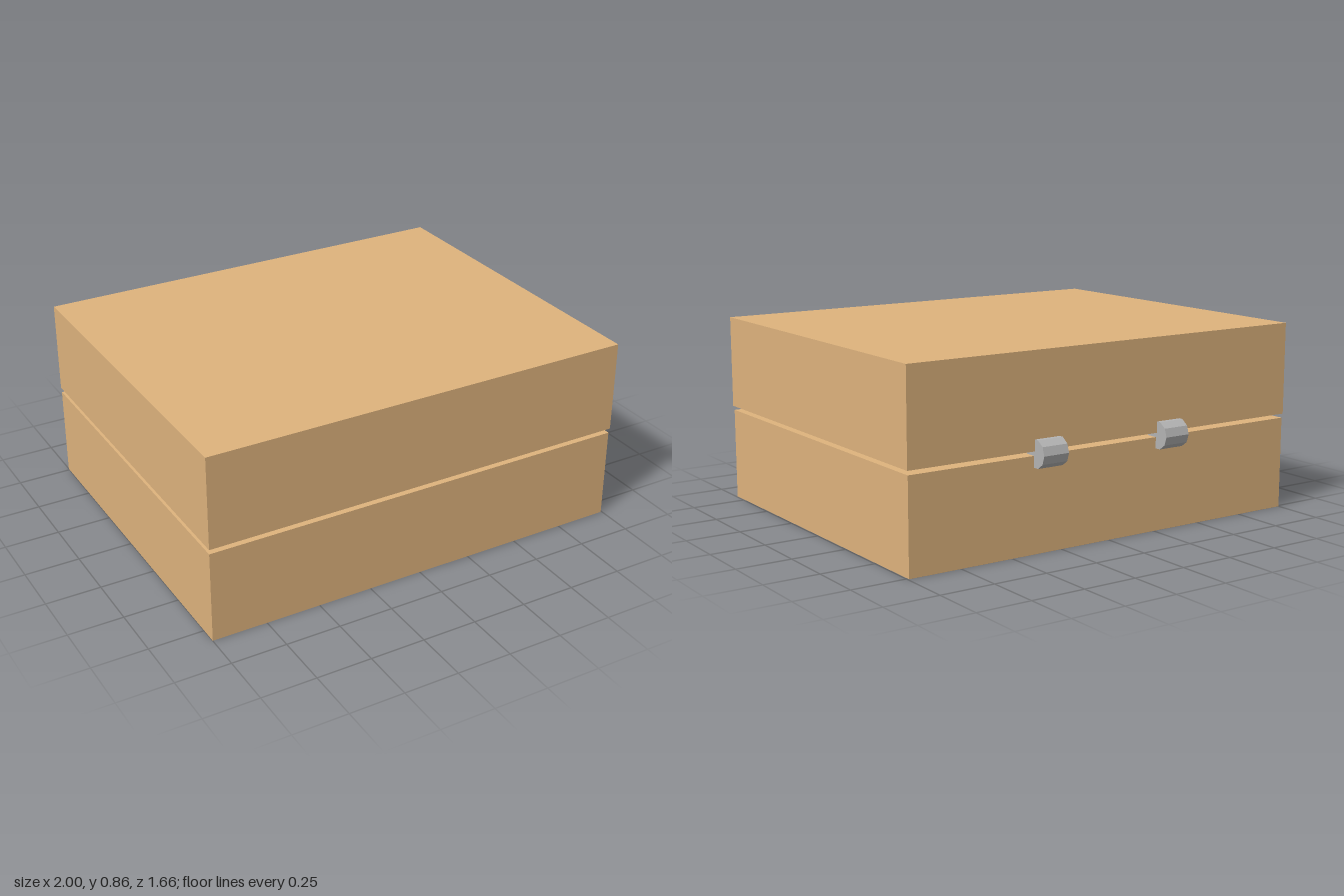
import * as THREE from 'three';

const WALL = 0.08;
const wood = new THREE.MeshStandardMaterial({ color: 0xdeb37d });
const velvet = new THREE.MeshStandardMaterial({ color: 0x4a0f16, side: THREE.DoubleSide });
const metal = new THREE.MeshStandardMaterial({ color: 0xb4b4b4, flatShading: true });

function rectangle(PathType, w, d) {
  return new PathType([
    new THREE.Vector2(-w / 2, -d / 2), new THREE.Vector2(w / 2, -d / 2),
    new THREE.Vector2(w / 2, d / 2), new THREE.Vector2(-w / 2, d / 2),
  ]);
}

// Open tray: a rectangular wall frame with a panel set into its base
function tray(name, w, h, d) {
  const group = new THREE.Group();
  group.name = name;
  const outline = rectangle(THREE.Shape, w, d);
  outline.holes.push(rectangle(THREE.Path, w - 2 * WALL, d - 2 * WALL));
  const frame = new THREE.ExtrudeGeometry(outline, { depth: h, bevelEnabled: false });
  frame.rotateX(-Math.PI / 2);
  const walls = new THREE.Mesh(frame, wood);
  walls.name = name + 'Walls';
  const panel = new THREE.Mesh(new THREE.BoxGeometry(w - 2 * WALL, WALL, d - 2 * WALL), wood);
  panel.name = name + 'Panel';
  panel.position.y = WALL / 2;
  group.add(walls, panel);
  return group;
}

export function createModel() {
  const model = new THREE.Group();
  model.name = 'hingedBox';

  // Lower half
  const base = tray('base', 1.994, 0.42, 1.59);
  base.position.set(-0.003, 0, 0.035);
  model.add(base);

  // Upper half, the same tray turned over
  const lid = tray('lid', 2, 0.42, 1.597);
  lid.rotation.z = Math.PI;
  lid.position.set(0, 0.86, 0.032);
  model.add(lid);

  // Domed cushion lining, swelling above the rim in the middle
  const dome = new THREE.PlaneGeometry(1.84, 1.44, 20, 20);
  dome.rotateX(-Math.PI / 2);
  const p = dome.attributes.position;
  for (let i = 0; i < p.count; i++) {
    const u = p.getX(i) / 0.92, v = p.getZ(i) / 0.72;
    p.setY(i, 0.3 + 0.187 * (1 - u * u) * (1 - v * v));
  }
  dome.computeVertexNormals();
  const cushion = new THREE.Mesh(dome, velvet);
  cushion.name = 'cushion';
  cushion.position.z = 0.035;
  model.add(cushion);

  // Two hinge barrels along the back edge
  for (const [name, x] of [['rightHinge', -0.315], ['leftHinge', 0.33]]) {
    const barrel = new THREE.CylinderGeometry(0.063, 0.063, 0.125, 10);
    barrel.rotateZ(Math.PI / 2);
    const hinge = new THREE.Mesh(barrel, metal);
    hinge.name = name;
    hinge.position.set(x, 0.43, -0.768);
    model.add(hinge);
  }
  return model;
}
